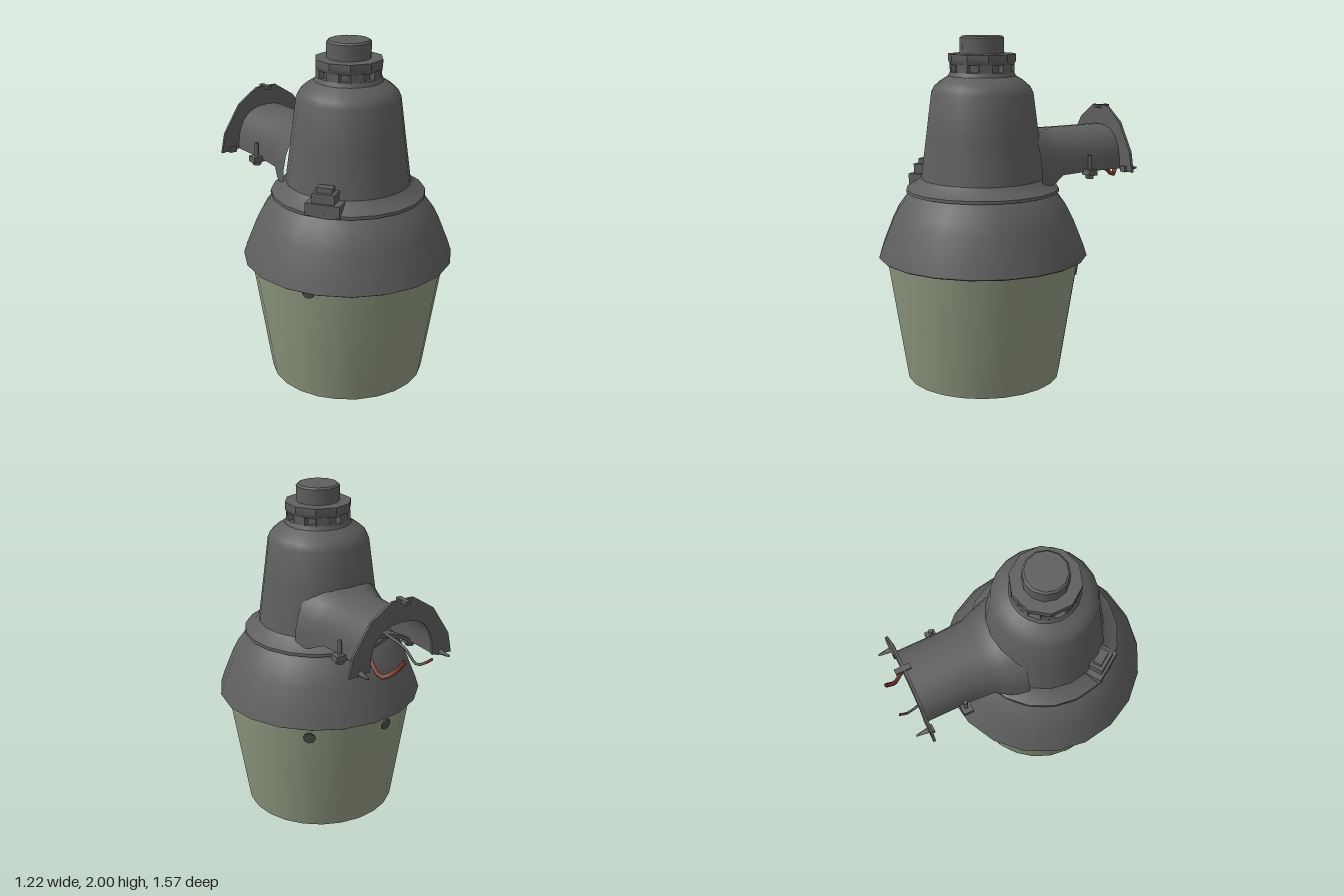
import * as THREE from 'three';
import { toCreasedNormals } from 'three/addons/utils/BufferGeometryUtils.js';

const AXIS_Z = 0.175;
const DS = THREE.DoubleSide;
const grey = new THREE.MeshStandardMaterial({ color: 0x5e5e5e, side: DS });
grey.name = 'housing grey';
const glass = new THREE.MeshStandardMaterial({ color: 0x8c957d, side: DS });
glass.name = 'lens green';
const dark = new THREE.MeshStandardMaterial({ color: 0x4a4c47, side: DS });
dark.name = 'spot grey';
const red = new THREE.MeshStandardMaterial({ color: 0x7c3b30, side: DS });
red.name = 'wire red';

export function createModel() {
  const root = new THREE.Group();
  root.name = 'yardLight';

  const add = (name, geometry, material, x = 0, y = 0, z = 0, parent = root) => {
    const mesh = new THREE.Mesh(geometry, material);
    mesh.name = name;
    mesh.position.set(x, y, z);
    parent.add(mesh);
    return mesh;
  };
  const turned = (name, points, sides, material) => {
    const profile = points.map(([r, y]) => new THREE.Vector2(r, y));
    const geometry = toCreasedNormals(new THREE.LatheGeometry(profile, sides), 0.6);
    return add(name, geometry, material, 0, 0, AXIS_Z);
  };
  const tube = (name, points, radius, material) => {
    const curve = new THREE.CatmullRomCurve3(points.map((p) => new THREE.Vector3(...p)));
    return add(name, new THREE.TubeGeometry(curve, 14, radius, 6), material);
  };

  // Lens, open at the bottom
  turned('lens', [[0.435, 0.012], [0.452, 0], [0.458, 0.03], [0.565, 0.72], [0.567, 0.76]], 24, glass);

  // Skirt, shoulder flange, tapered body and photocell cap
  turned('skirt', [[0.555, 0.745], [0.6, 0.728], [0.611, 0.735], [0.59, 0.8], [0.53, 0.95],
    [0.497, 1.015], [0.45, 1.08], [0.41, 1.12], [0.36, 1.125]], 20, grey);
  turned('body', [[0.4, 1.113], [0.447, 1.113], [0.445, 1.13], [0.385, 1.165], [0.36, 1.19],
    [0.325, 1.45], [0.295, 1.68], [0.278, 1.715], [0.24, 1.748], [0.195, 1.775], [0.184, 1.8], [0.15, 1.8]], 20, grey);
  turned('neck', [[0.16, 1.78], [0.16, 1.86]], 12, grey);
  turned('collar', [[0.15, 1.84], [0.184, 1.84], [0.194, 1.86], [0.194, 1.9], [0.12, 1.902]], 10, grey);
  turned('photocell', [[0.126, 1.89], [0.126, 1.99], [0.115, 2], [0, 2]], 12, grey);
  for (let i = 0; i < 8; i++) {
    const a = (i + 0.5) * Math.PI / 4;
    const tooth = add('collarTooth', new THREE.BoxGeometry(0.075, 0.05, 0.03), grey,
      Math.sin(a) * 0.166, 1.82, AXIS_Z + Math.cos(a) * 0.166);
    tooth.rotation.y = a;
  }

  // Arm: an arched channel, open below, flaring into the body
  const sections = [ // z, half width, base y, top y
    [-0.66, 0.215, 1.2, 1.45], [-0.4, 0.215, 1.2, 1.45], [-0.24, 0.225, 1.195, 1.45],
    [-0.16, 0.265, 1.16, 1.46], [-0.05, 0.3, 1.13, 1.51],
  ];
  const N = 14, pos = [], index = [];
  const archPoint = (w, base, top, t) => {
    const c = Math.cos(t), s = Math.sin(t);
    return [w * Math.sign(c) * Math.abs(c) ** 0.8, base + (top - base) * s ** 0.8];
  };
  sections.forEach(([z, w, base, top], k) => {
    for (let i = 0; i <= N; i++) {
      const [x, y] = archPoint(w, base, top, i === N ? Math.PI - 1e-6 : Math.PI * i / N);
      pos.push(x, y, z);
      if (k && i < N) {
        const b = k * (N + 1) + i, a = b - N - 1;
        index.push(a, a + 1, b, a + 1, b + 1, b);
      }
    }
  });
  const armGeometry = new THREE.BufferGeometry();
  armGeometry.setAttribute('position', new THREE.Float32BufferAttribute(pos, 3));
  armGeometry.setIndex(index);
  armGeometry.computeVertexNormals();
  add('arm', armGeometry, grey);

  // Arched wall plate with three lugs
  const plate = new THREE.Shape();
  const half = [[0.335, 1.19], [0.31, 1.31], [0.2, 1.48], [0.07, 1.565]];
  plate.moveTo(...half[0]);
  half.slice(1).forEach((p) => plate.lineTo(...p));
  half.slice().reverse().forEach(([x, y]) => plate.lineTo(-x, y));
  for (let i = 0; i <= 12; i++) {
    const t = Math.PI * (1 - i / 12);
    plate.lineTo(...archPoint(0.205, 1.2, 1.44, Math.min(Math.max(t, 1e-6), Math.PI - 1e-6)));
  }
  add('wallPlate', new THREE.ExtrudeGeometry(plate, { depth: 0.016, bevelEnabled: false }), grey, 0, 0, -0.668);
  add('topLug', new THREE.BoxGeometry(0.03, 0.02, 0.09), grey, 0, 1.558, -0.665);
  for (const s of [-1, 1]) {
    const lug = new THREE.Group();
    lug.name = 'footLug';
    lug.position.set(s * 0.265, 1.205, -0.65);
    root.add(lug);
    add('lugBase', new THREE.BoxGeometry(0.045, 0.035, 0.03), grey, 0, 0, 0, lug);
    const spike = add('lugSpike', new THREE.CylinderGeometry(0.006, 0.02, 0.09, 5), grey, 0, 0, -0.045, lug);
    spike.rotation.x = -Math.PI / 2;

    // Clamp bolts on either side of the arm
    const clamp = new THREE.Group();
    clamp.name = 'armClamp';
    clamp.position.set(s * 0.235, 1.2, -0.42);
    root.add(clamp);
    add('clampEar', new THREE.BoxGeometry(0.075, 0.035, 0.06), grey, 0, 0, 0, clamp);
    add('clampBolt', new THREE.CylinderGeometry(0.013, 0.013, 0.13, 6), grey, 0, 0.035, 0, clamp);
    add('clampNut', new THREE.CylinderGeometry(0.026, 0.026, 0.025, 6), grey, 0, -0.025, 0, clamp);
  }

  // Clamp strap across the underside of the arm
  const strap = new THREE.Shape();
  strap.moveTo(-0.22, 1.21);
  strap.quadraticCurveTo(0, 1.36, 0.22, 1.21);
  strap.lineTo(0.22, 1.19);
  strap.quadraticCurveTo(0, 1.33, -0.22, 1.19);
  add('clampStrap', new THREE.ExtrudeGeometry(strap, { depth: 0.06, bevelEnabled: false, curveSegments: 10 }),
    grey, 0, 0, -0.45);

  // Supply wires
  tube('leftWire', [[0.1, 1.28, -0.4], [0.14, 1.21, -0.58], [0.13, 1.15, -0.665], [0.08, 1.19, -0.72], [0.06, 1.265, -0.775]], 0.013, red);
  tube('rightWire', [[-0.04, 1.29, -0.4], [-0.08, 1.24, -0.58], [-0.1, 1.17, -0.67], [-0.12, 1.2, -0.73]], 0.008, grey);
  tube('rightWireEnd', [[-0.12, 1.2, -0.73], [-0.122, 1.22, -0.755], [-0.12, 1.235, -0.775]], 0.008, red);

  // Latch block on the shoulder
  const latch = new THREE.Group();
  latch.name = 'latch';
  latch.position.set(-0.32, 1.12, 0.385);
  latch.rotation.y = -0.98;
  root.add(latch);
  add('latchBase', new THREE.BoxGeometry(0.2, 0.07, 0.12), grey, 0, 0.035, 0, latch);
  add('latchBody', new THREE.BoxGeometry(0.13, 0.08, 0.09), grey, 0, 0.085, 0, latch);
  add('latchKnob', new THREE.BoxGeometry(0.09, 0.04, 0.05), grey, 0, 0.135, 0, latch);

  // Thin spots high on the lens
  for (const [x, z, y] of [[0.61, -0.79, 0.655], [-0.22, -0.975, 0.66], [-0.87, 0.49, 0.715]]) {
    const r = 0.453 + 0.155 * y + 0.001;
    const spot = add('lensSpot', new THREE.CylinderGeometry(0.036, 0.036, 0.008, 8), dark, x * r, y, AXIS_Z + z * r);
    spot.quaternion.setFromUnitVectors(new THREE.Vector3(0, 1, 0), new THREE.Vector3(x, -0.155, z).normalize());
  }
  return root;
}
